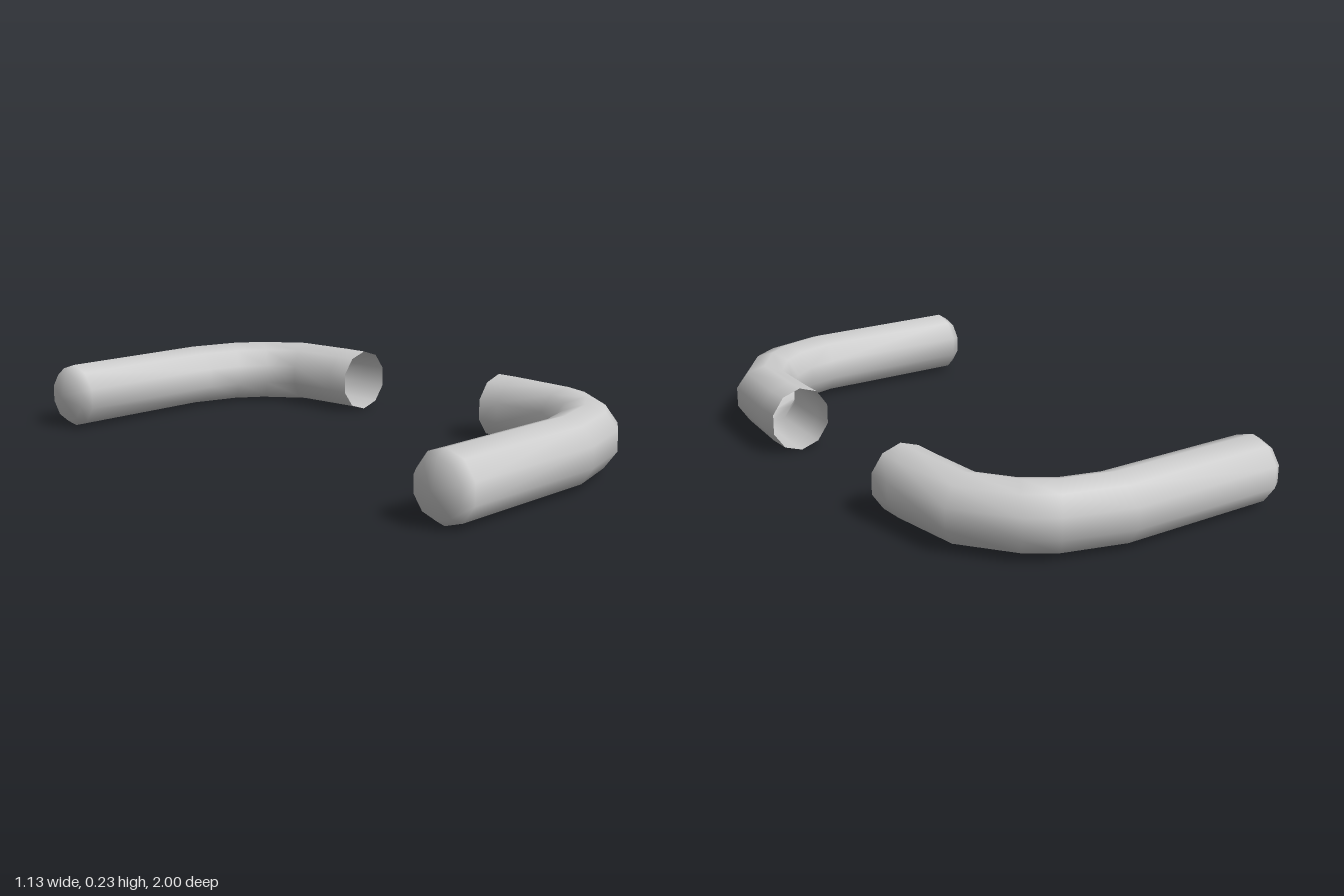
import * as THREE from 'three';

const SIDES = 10;
const RADIUS = 0.1135;
const WIDEST = Math.sin(THREE.MathUtils.degToRad(72)); // widest corner of the decagon

// Tube stations: [outer x, outer z, inner x, inner z, radius]
const STATIONS = [
  [-0.535, 0.978, -0.535, 0.806, 0.0915],
  [-0.5, 1.0, -0.5, 0.785, RADIUS],
  [0.065, 1.0, 0.065, 0.785, RADIUS],
  [0.295, 0.935, 0.18, 0.755, RADIUS],
  [0.39, 0.87, 0.275, 0.69, RADIUS],
  [0.53, 0.685, 0.34, 0.6, RADIUS],
  [0.563, 0.42, 0.348, 0.41, RADIUS],
  [0.563, 0.33, 0.35, 0.33, RADIUS],
];

// Bent tube with a domed tip and an open inner end; side is +1 or -1 along z
function bentTube(side) {
  const positions = [-0.563, RADIUS, side * 0.892]; // tip of the dome
  for (const [ox, oz, ix, iz, r] of STATIONS) {
    for (let j = 0; j < SIDES; j++) {
      const a = (j / SIDES) * Math.PI * 2;
      const s = Math.sin(a) / WIDEST / 2;
      positions.push(
        (ox + ix) / 2 + (ox - ix) * s,
        RADIUS + r * Math.cos(a),
        side * ((oz + iz) / 2 + (oz - iz) * s)
      );
    }
  }

  const index = [];
  const triangle = (a, b, c) => index.push(...(side > 0 ? [a, b, c] : [a, c, b]));
  const at = (i, j) => 1 + i * SIDES + (j % SIDES);
  for (let j = 0; j < SIDES; j++) {
    triangle(0, at(0, j + 1), at(0, j));
    for (let i = 0; i < STATIONS.length - 1; i++) {
      triangle(at(i, j), at(i, j + 1), at(i + 1, j));
      triangle(at(i, j + 1), at(i + 1, j + 1), at(i + 1, j));
    }
  }

  const geometry = new THREE.BufferGeometry();
  geometry.setAttribute('position', new THREE.Float32BufferAttribute(positions, 3));
  geometry.setIndex(index);
  geometry.computeVertexNormals();
  return geometry;
}

export function createModel() {
  const group = new THREE.Group();
  group.name = 'bentTubePair';
  const material = new THREE.MeshStandardMaterial({ color: 0xcccccc, side: THREE.DoubleSide });

  // Front tube and its mirror image at the back
  for (const [name, side] of [['frontTube', 1], ['backTube', -1]]) {
    const tube = new THREE.Mesh(bentTube(side), material);
    tube.name = name;
    group.add(tube);
  }
  return group;
}
